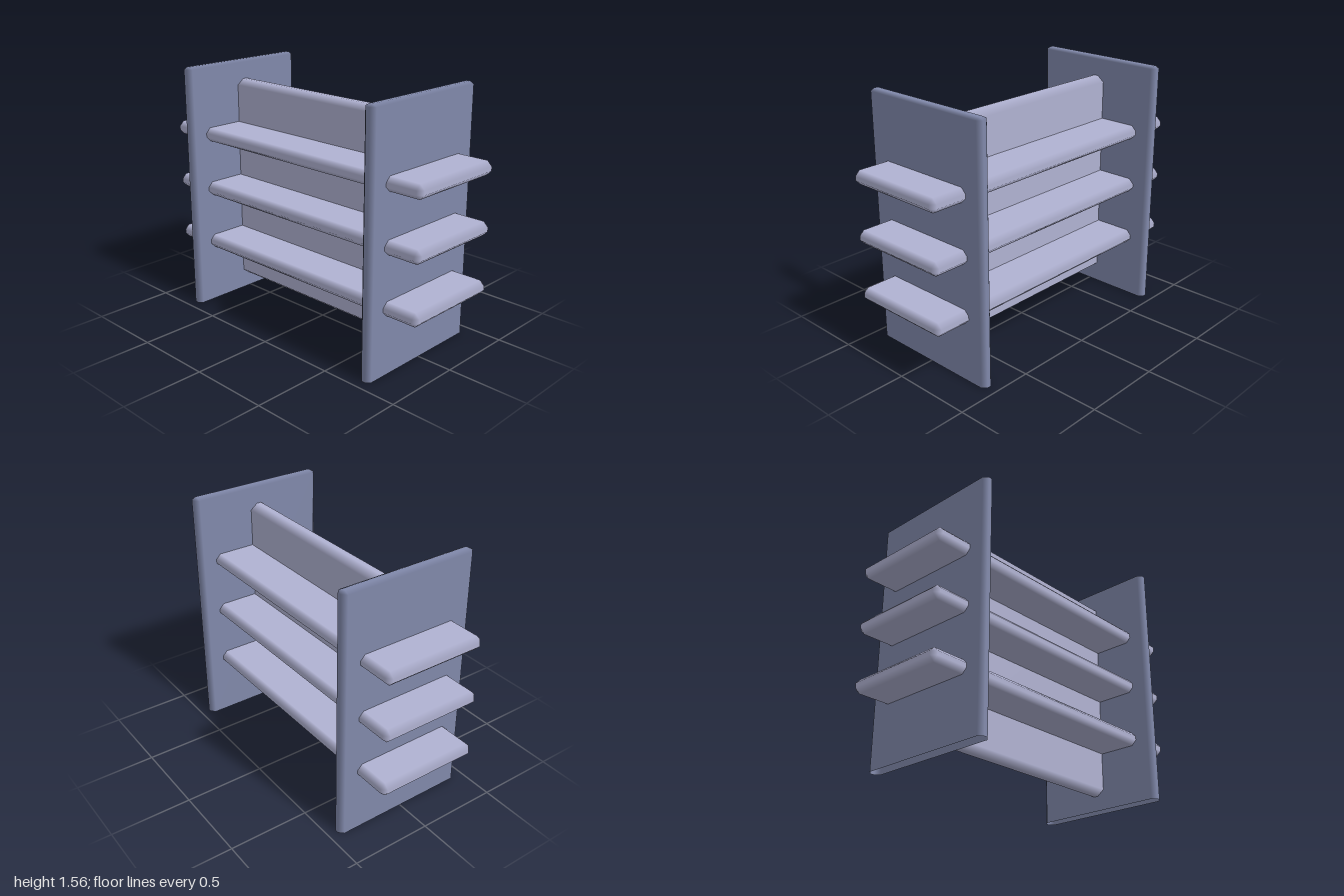
import * as THREE from 'three';
import { ConvexGeometry } from 'three/addons/geometries/ConvexGeometry.js';

// Box with one soft chamfer on every edge; inset is the chamfer reach along x, y and z.
// With openBottom the lower end is cut straight and left without a face.
function softBox(size, inset, openBottom = false) {
  const half = size.map((s) => s / 2);
  const points = [];
  for (let axis = 0; axis < 3; axis++) {
    for (const sx of [-1, 1]) for (const sy of [-1, 1]) for (const sz of [-1, 1]) {
      if (openBottom && axis === 1 && sy < 0) continue;
      const p = [sx, sy, sz].map((s, i) => {
        const cut = i === axis || (openBottom && i === 1 && s < 0) ? 0 : inset[i];
        return s * (half[i] - cut);
      });
      points.push(new THREE.Vector3(...p));
    }
  }
  const geometry = new ConvexGeometry(points);

  if (openBottom) {
    const src = geometry.attributes.position;
    const kept = [];
    for (let i = 0; i < src.count; i += 3) {
      if ([0, 1, 2].every((k) => src.getY(i + k) < -half[1] + 1e-4)) continue;
      for (let k = 0; k < 3; k++) kept.push(src.getX(i + k), src.getY(i + k), src.getZ(i + k));
    }
    geometry.setAttribute('position', new THREE.Float32BufferAttribute(kept, 3));
  }

  // Each corner point takes the normal of the flat face it bounds, so chamfers shade smoothly
  const pos = geometry.attributes.position;
  const normals = [];
  for (let i = 0; i < pos.count; i++) {
    const p = [pos.getX(i), pos.getY(i), pos.getZ(i)];
    const axis = [0, 2, 1].find((a) => Math.abs(Math.abs(p[a]) - half[a]) < 1e-4) ?? 1;
    const n = [0, 0, 0];
    n[axis] = Math.sign(p[axis]);
    normals.push(...n);
  }
  geometry.setAttribute('normal', new THREE.Float32BufferAttribute(normals, 3));
  return geometry;
}

export function createModel() {
  const group = new THREE.Group();
  const shelfPaint = new THREE.MeshStandardMaterial({ name: 'pale lavender', color: 0xb0b2d2 });
  const sidePaint = new THREE.MeshStandardMaterial({
    name: 'slate blue', color: 0x8088aa, side: THREE.DoubleSide,
  });

  const add = (name, geometry, material, x, y) => {
    const mesh = new THREE.Mesh(geometry, material);
    mesh.name = name;
    mesh.position.set(x, y, 0);
    group.add(mesh);
  };

  // Upright side panels
  const side = softBox([0.076, 1.56, 0.88], [0.026, 0.014, 0.026], true);
  add('leftSidePanel', side, sidePaint, 0.735, 0.78);
  add('rightSidePanel', side, sidePaint, -0.735, 0.78);

  // Central divider between the sides
  add('centreDivider', softBox([1.43, 1.345, 0.12], [0.02, 0.035, 0.045]), shelfPaint, 0, 0.7675);

  // Shelves running through both side panels
  const shelf = softBox([2, 0.085, 0.655], [0.03, 0.03, 0.03]);
  [0.408, 0.768, 1.124].forEach((y, i) => add(`shelf${i + 1}`, shelf, shelfPaint, 0, y));

  return group;
}
